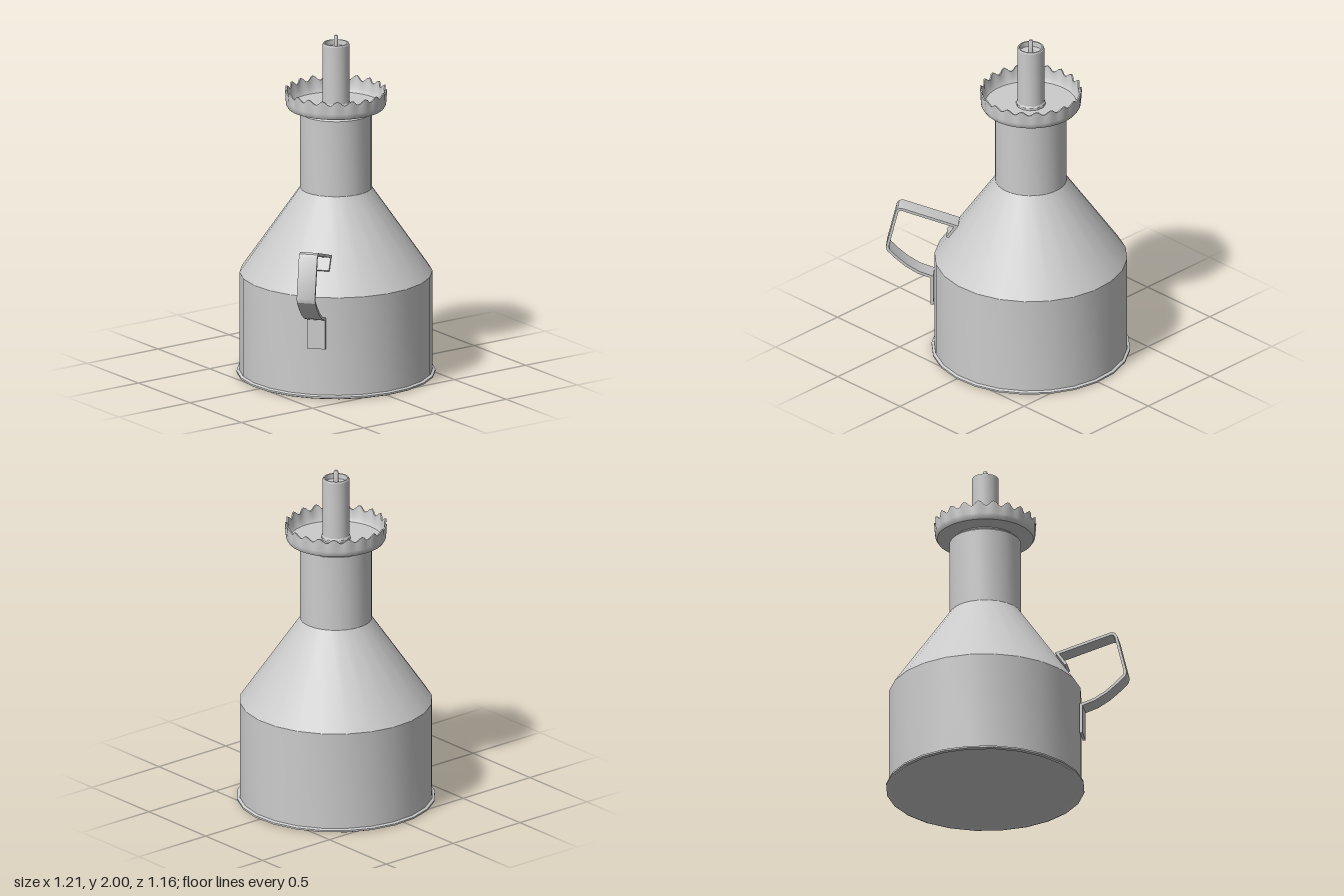
import * as THREE from 'three';
import { toCreasedNormals } from 'three/addons/utils/BufferGeometryUtils.js';

const material = new THREE.MeshStandardMaterial({ color: 0xcccccc, side: THREE.DoubleSide });
const AXIS_X = 0.04, AXIS_Z = -0.017;

function addMesh(parent, name, geometry, crease = 0.5) {
  const mesh = new THREE.Mesh(toCreasedNormals(geometry, crease), material);
  mesh.name = name;
  parent.add(mesh);
  return mesh;
}

// Turned part from [radius, height] pairs, listed from the bottom up the outside
function turned(profile, segments = 24) {
  const points = profile.map(([r, y]) => new THREE.Vector2(r, y));
  return new THREE.LatheGeometry(points, segments, THREE.MathUtils.degToRad(11));
}

// Upturned cap whose wall is crimped into flutes with a wavy lip
function crimpedCap() {
  const flutes = 21;
  const geometry = turned([
    [0, 1.57], [0.25, 1.57], [0.274, 1.576], [0.284, 1.592], [0.286, 1.61],
    [0.287, 1.672], [0.279, 1.672], [0.276, 1.61], [0.262, 1.588], [0, 1.585],
  ], flutes * 6);
  const p = geometry.attributes.position;
  for (let i = 0; i < p.count; i++) {
    const x = p.getX(i), y = p.getY(i), z = p.getZ(i);
    const lift = THREE.MathUtils.clamp((y - 1.592) / 0.08, 0, 1);
    const wave = Math.cos(Math.atan2(x, z) * flutes);
    const scale = 1 + 0.018 * wave * lift;
    p.setXYZ(i, x * scale, y + 0.014 * wave * lift * lift, z * scale);
  }
  return geometry;
}

// Flat strap of even thickness bent along [distance from axis, height] points
function strap(path, thickness, width) {
  const pts = path.map(([r, y]) => new THREE.Vector2(r, y));
  const normal = (a, b) => new THREE.Vector2(a.y - b.y, b.x - a.x).normalize();
  const inner = pts.map((pt, i) => {
    const before = i > 0 ? normal(pts[i - 1], pt) : normal(pt, pts[i + 1]);
    const after = i < pts.length - 1 ? normal(pt, pts[i + 1]) : before;
    const miter = before.clone().add(after).normalize();
    return pt.clone().addScaledVector(miter, thickness / miter.dot(before));
  });
  const shape = new THREE.Shape([...pts, ...inner.reverse()]);
  const geometry = new THREE.ExtrudeGeometry(shape, { depth: width, bevelEnabled: false });
  return geometry.translate(0, 0, -width / 2);
}

export function createModel() {
  const model = new THREE.Group();
  model.name = 'oilCan';
  const can = new THREE.Group();
  can.name = 'can';
  can.position.set(AXIS_X, 0, AXIS_Z);
  model.add(can);

  // Drum, sloping shoulder and neck
  addMesh(can, 'body', turned([
    [0, 0.008], [0.55, 0.008], [0.55, 0.6], [0.205, 1.1],
    [0.205, 1.545], [0.197, 1.555], [0, 1.555],
  ]));
  // Rolled rim around the foot
  addMesh(can, 'baseRim', turned([
    [0.54, 0.008], [0.553, 0], [0.567, 0.006], [0.567, 0.016], [0.552, 0.023],
  ]), 1);
  // Short ring between neck and cap
  addMesh(can, 'neckRing', turned([[0.18, 1.55], [0.18, 1.575]]));
  addMesh(can, 'cap', crimpedCap(), 0.7);

  // Spout with collar, hollow tip and centre pin
  addMesh(can, 'spoutCollar', turned([[0.084, 1.58], [0.084, 1.6], [0.076, 1.612]], 12));
  addMesh(can, 'spout', turned([
    [0.077, 1.58], [0.077, 1.948], [0.073, 1.955], [0.065, 1.955], [0.063, 1.925], [0, 1.925],
  ]));
  addMesh(can, 'spoutPin', turned([[0.013, 1.92], [0.013, 1.992], [0.009, 2], [0, 2]], 12));

  // Strap handle with a tab on the drum and another on the shoulder
  const handle = addMesh(can, 'handle', strap([
    [0.568, 0.30], [0.568, 0.472], [0.64, 0.497], [0.71, 0.54], [0.77, 0.592],
    [0.817, 0.64], [0.823, 0.665], [0.768, 0.895], [0.755, 0.913], [0.73, 0.917],
    [0.409, 0.815], [0.465, 0.733],
  ], 0.016, 0.107));
  handle.rotation.y = Math.PI + Math.atan2(0.652, 0.758);
  handle.position.set(0.012, 0, 0.014);

  return model;
}
